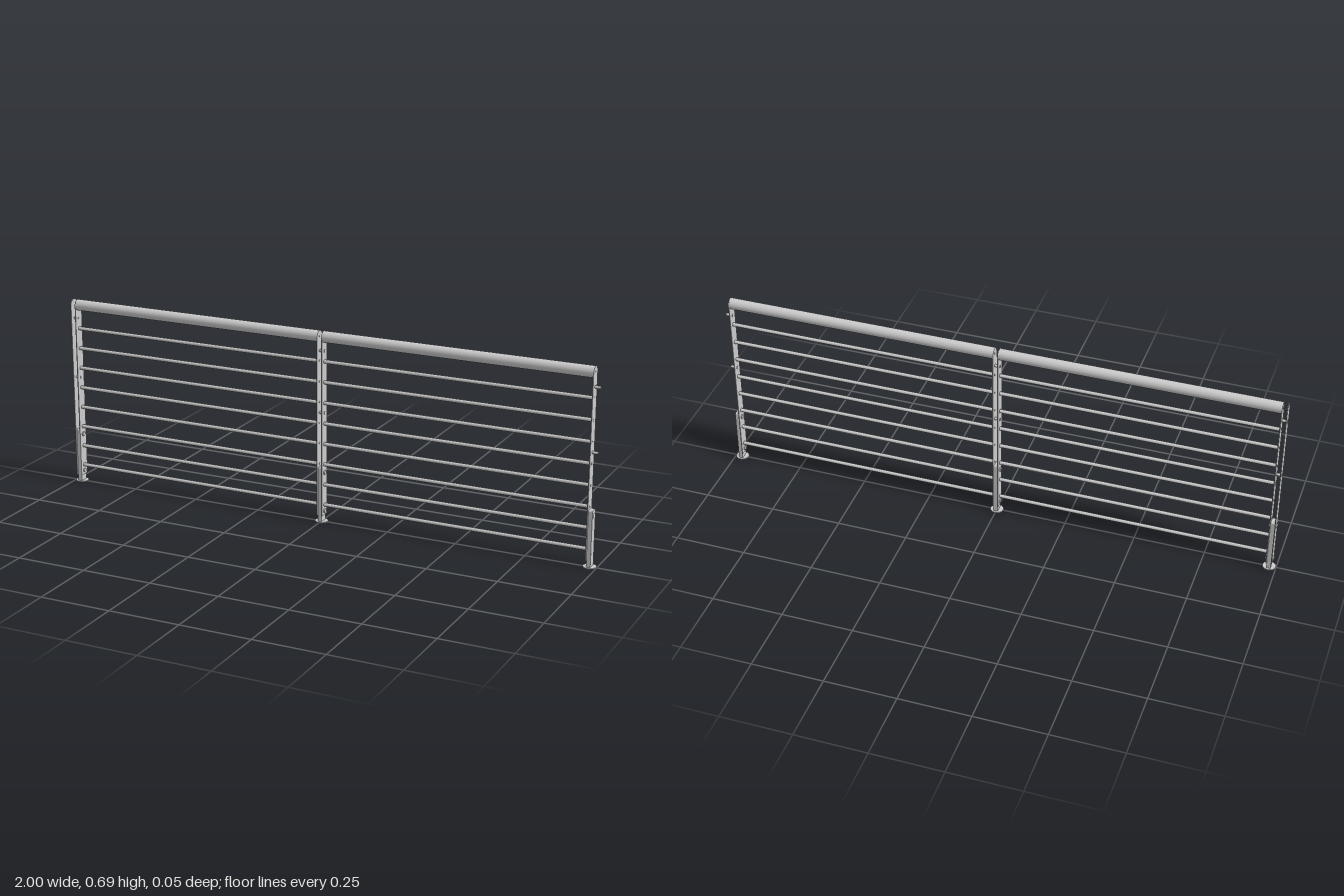
import * as THREE from 'three';

const material = new THREE.MeshStandardMaterial({ color: 0xcccccc });
const POSTS = [-0.976, 0, 0.976];
const INNER = 0.0075, OUTER = 0.0105; // faces of a post plate, measured from the post centre
const HANDRAIL_Y = 0.665;

function addMesh(parent, name, geometry, x = 0, y = 0, z = 0) {
  const mesh = new THREE.Mesh(geometry, material);
  mesh.name = name;
  mesh.position.set(x, y, z);
  parent.add(mesh);
  return mesh;
}

// Cylinder lying along x between two ends
function addRod(parent, name, x0, x1, y, radius, sides = 20) {
  const geometry = new THREE.CylinderGeometry(radius, radius, x1 - x0, sides).rotateZ(Math.PI / 2);
  return addMesh(parent, name, geometry, (x0 + x1) / 2, y);
}

// Upright flat bar with rounded upper corners, thickness along x
function flatBar(halfWidth, bottom, top, cornerRadius, thickness) {
  const s = new THREE.Shape();
  const c = halfWidth - cornerRadius, shoulder = top - cornerRadius;
  s.moveTo(-halfWidth, bottom);
  s.lineTo(halfWidth, bottom);
  s.lineTo(halfWidth, shoulder);
  s.absarc(c, shoulder, cornerRadius, 0, Math.PI / 2, false);
  s.absarc(-c, shoulder, cornerRadius, Math.PI / 2, Math.PI, false);
  s.closePath();
  return new THREE.ExtrudeGeometry(s, { depth: thickness, bevelEnabled: false, curveSegments: 12 })
    .translate(0, 0, -thickness / 2)
    .rotateY(Math.PI / 2);
}

export function createModel() {
  const root = new THREE.Group();
  root.name = 'railing';

  const plate = flatBar(0.02, 0.025, 0.685, 0.02, OUTER - INNER);
  const bracket = flatBar(0.0155, 0.002, 0.2, 0.004, INNER * 2 - 0.001);
  const foot = new THREE.CylinderGeometry(0.023, 0.024, 0.003, 32).translate(0, 0.0015, 0);

  POSTS.forEach((x, i) => {
    const post = new THREE.Group();
    post.name = 'post';
    post.position.x = x;
    root.add(post);

    // Paired plates; the left end carries only its inner plate
    const sides = i === 2 ? [-1] : [-1, 1];
    for (const side of sides) addMesh(post, 'postPlate', plate, side * (INNER + OUTER) / 2);

    addMesh(post, 'footBracket', bracket);
    addMesh(post, 'footDisc', foot);

    // Spacer pins that tie the plates together
    for (const y of [0.395, 0.615]) addRod(post, 'spacerPin', -0.0125, 0.0125, y, 0.005);

    // Bolts that clamp the plates to the foot bracket
    for (const y of [0.04, 0.18]) {
      const end = i === 2 ? INNER : 0.015;
      addRod(post, 'bracketBolt', -0.015, end, y, 0.008, 16);
    }
  });

  // Handrail and eight thin bars in each bay
  for (let bay = 0; bay < 2; bay++) {
    const x0 = POSTS[bay] + OUTER, x1 = POSTS[bay + 1] - OUTER;
    const group = new THREE.Group();
    group.name = 'bay';
    root.add(group);

    addRod(group, 'handrail', x0, x1, HANDRAIL_Y, 0.0198, 40);
    const heights = [HANDRAIL_Y];
    for (let k = 0; k < 8; k++) {
      const y = 0.062 + k * 0.0737;
      addRod(group, 'bar', x0, x1, y, 0.0065);
      heights.push(y);
    }
    // Screw ends showing on the far faces of the plates
    for (const y of heights) {
      addRod(group, 'screw', x0 - 0.004, x0, y, 0.004, 12);
      addRod(group, 'screw', x1, x1 + 0.004, y, 0.004, 12);
    }
  }
  return root;
}
